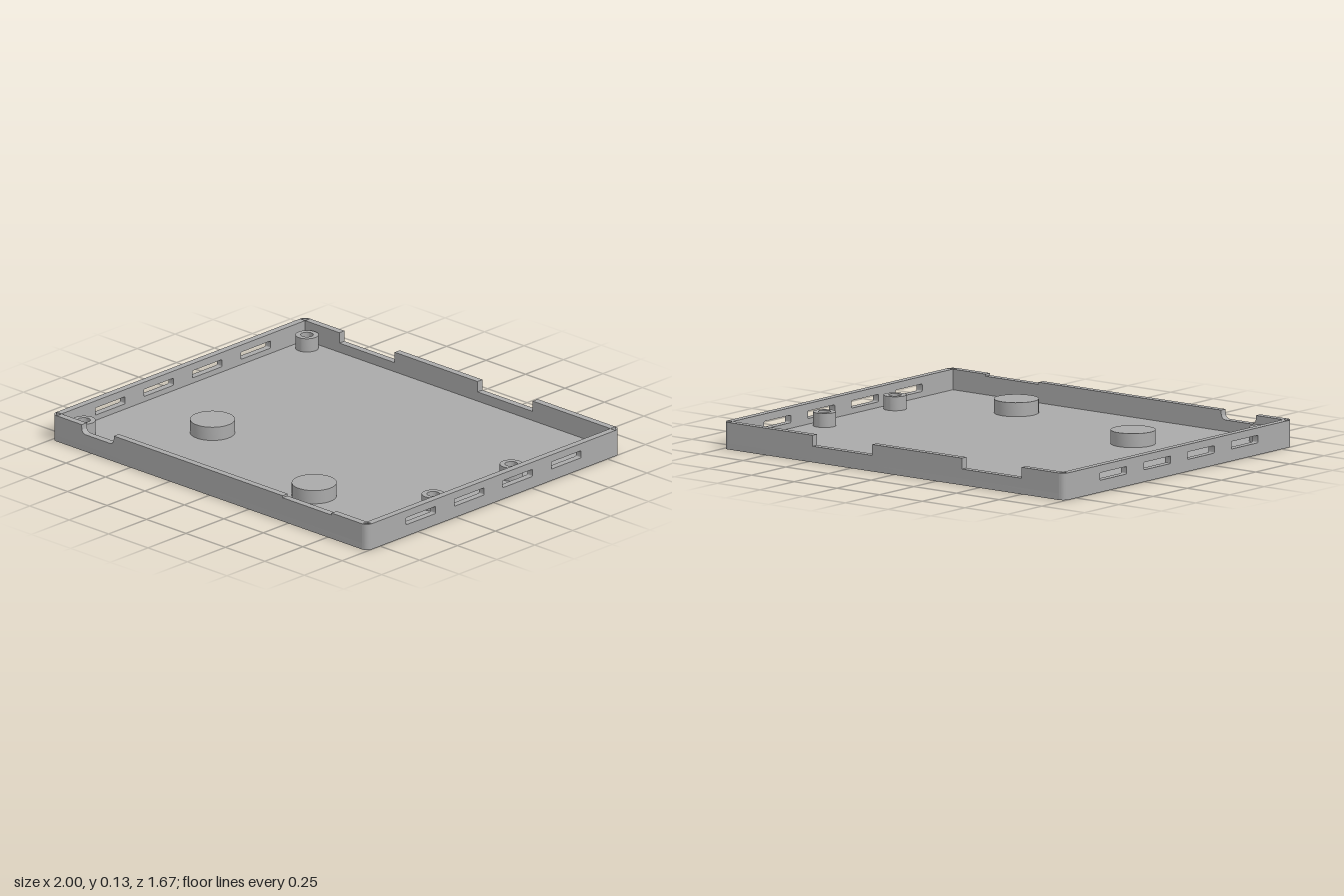
import * as THREE from 'three';
import { toCreasedNormals } from 'three/addons/utils/BufferGeometryUtils.js';

const W = 1, D = 0.836, H = 0.126, T = 0.033; // half width, half depth, height, wall thickness
const FLOOR = 0.03, POST_TOP = 0.095, RECESS = 0.01;
const IX = W - T, IZ = D - T;

const posts = [[-0.895, -0.74], [-0.895, 0.73], [0.89, -0.23], [0.89, 0.285]];
const bosses = [[-0.48, 0.315], [0.4, 0.56]];
const feet = [[-0.775, -0.61], [0.775, -0.61], [-0.775, 0.61], [0.775, 0.61]];
const BORE = 0.046, BOSS_BORE = 0.063;

export function createModel() {
  const group = new THREE.Group();
  const grey = new THREE.MeshStandardMaterial({ color: 0xaaaaaa });
  grey.name = 'grey plastic';

  const add = (name, geometry) => {
    const mesh = new THREE.Mesh(toCreasedNormals(geometry, 0.6), grey);
    mesh.name = name;
    group.add(mesh);
    return mesh;
  };
  const extrude = (shape, depth) =>
    new THREE.ExtrudeGeometry(shape, { depth, bevelEnabled: false, curveSegments: 16 });
  // Plan shape (x, -z) raised from y0 to y1
  const slab = (shape, y0, y1) => extrude(shape, y1 - y0).rotateX(-Math.PI / 2).translate(0, y0, 0);
  const circle = ([x, z], r) => new THREE.Path().absarc(x, -z, r, 0, Math.PI * 2, true);

  // Floor in two layers: the lower one has the foot recesses
  const floorShape = (footHoles) => {
    const s = new THREE.Shape();
    s.absarc(IX, IZ, T, 0, Math.PI / 2);
    s.absarc(-IX, IZ, T, Math.PI / 2, Math.PI);
    s.absarc(-IX, -IZ, T, Math.PI, Math.PI * 1.5);
    s.absarc(IX, -IZ, T, Math.PI * 1.5, Math.PI * 2);
    s.closePath();
    s.holes.push(...posts.map((p) => circle(p, BORE)), ...bosses.map((p) => circle(p, BOSS_BORE)));
    if (footHoles) s.holes.push(...feet.map((p) => circle(p, 0.09)));
    return s;
  };
  add('floorUnderside', slab(floorShape(true), 0, RECESS));
  add('floor', slab(floorShape(false), RECESS, FLOOR));

  // Rounded corner columns
  for (let i = 0; i < 4; i++) {
    const sx = i === 0 || i === 3 ? 1 : -1, sy = i < 2 ? 1 : -1, a = i * Math.PI / 2;
    const s = new THREE.Shape();
    s.moveTo(sx * IX, sy * IZ);
    s.absarc(sx * IX, sy * IZ, T, a, a + Math.PI / 2);
    s.closePath();
    add('corner', slab(s, FLOOR, H));
  }

  // Side walls with four vent slots each
  const side = new THREE.Shape();
  side.moveTo(-IZ, FLOOR).lineTo(IZ, FLOOR).lineTo(IZ, H).lineTo(-IZ, H).closePath();
  for (const z of [-0.478, -0.157, 0.162, 0.482]) {
    const a = z - 0.098, b = z + 0.098, lo = 0.056, hi = 0.091, r = 0.006;
    const slot = new THREE.Path();
    slot.moveTo(a + r, lo).lineTo(b - r, lo).quadraticCurveTo(b, lo, b, lo + r)
      .lineTo(b, hi - r).quadraticCurveTo(b, hi, b - r, hi)
      .lineTo(a + r, hi).quadraticCurveTo(a, hi, a, hi - r)
      .lineTo(a, lo + r).quadraticCurveTo(a, lo, a + r, lo);
    side.holes.push(slot);
  }
  for (const [name, x] of [['leftWall', W], ['rightWall', -IX]]) {
    add(name, extrude(side, T).rotateY(-Math.PI / 2).translate(x, 0, 0));
  }

  // Front and back walls, top edge cut by notches [x0, x1, bottom, corner radius], right to left
  const notchedWall = (notches) => {
    const s = new THREE.Shape();
    s.moveTo(-IX, FLOOR).lineTo(IX, FLOOR).lineTo(IX, H);
    for (const [x0, x1, y, r] of notches) {
      s.lineTo(x1, H).lineTo(x1, y + r);
      if (r) s.quadraticCurveTo(x1, y, x1 - r, y);
      s.lineTo(x0 + r, y);
      if (r) s.quadraticCurveTo(x0, y, x0, y + r);
      s.lineTo(x0, H);
    }
    s.lineTo(-IX, H).closePath();
    return extrude(s, T);
  };
  add('frontWall', notchedWall([[0.465, 0.775, 0.116, 0], [-0.808, -0.605, 0.083, 0.03]]).translate(0, 0, IZ));
  add('backWall', notchedWall([[0.125, 0.475, 0.075, 0], [-0.75, -0.4, 0.075, 0]]).translate(0, 0, -D));

  // Turned parts: outside up, across the top, then down the inside
  const lathe = (name, profile, [x, z]) => {
    const points = profile.map(([r, y]) => new THREE.Vector2(r, y));
    add(name, new THREE.LatheGeometry(points, 40)).position.set(x, 0, z);
  };
  // Screw posts, counterbored from below
  for (const p of posts) {
    lathe('screwPost', [[0.053, FLOOR], [0.053, POST_TOP], [0.029, POST_TOP],
      [0.029, 0.055], [BORE, 0.055], [BORE, FLOOR]], p);
  }
  // Round bosses, hollow from below
  for (const p of bosses) {
    lathe('roundBoss', [[0.103, FLOOR], [0.103, POST_TOP], [0, POST_TOP]], p);
    lathe('bossHollow', [[0, 0.08], [BOSS_BORE, 0.08], [BOSS_BORE, FLOOR]], p);
  }
  return group;
}
